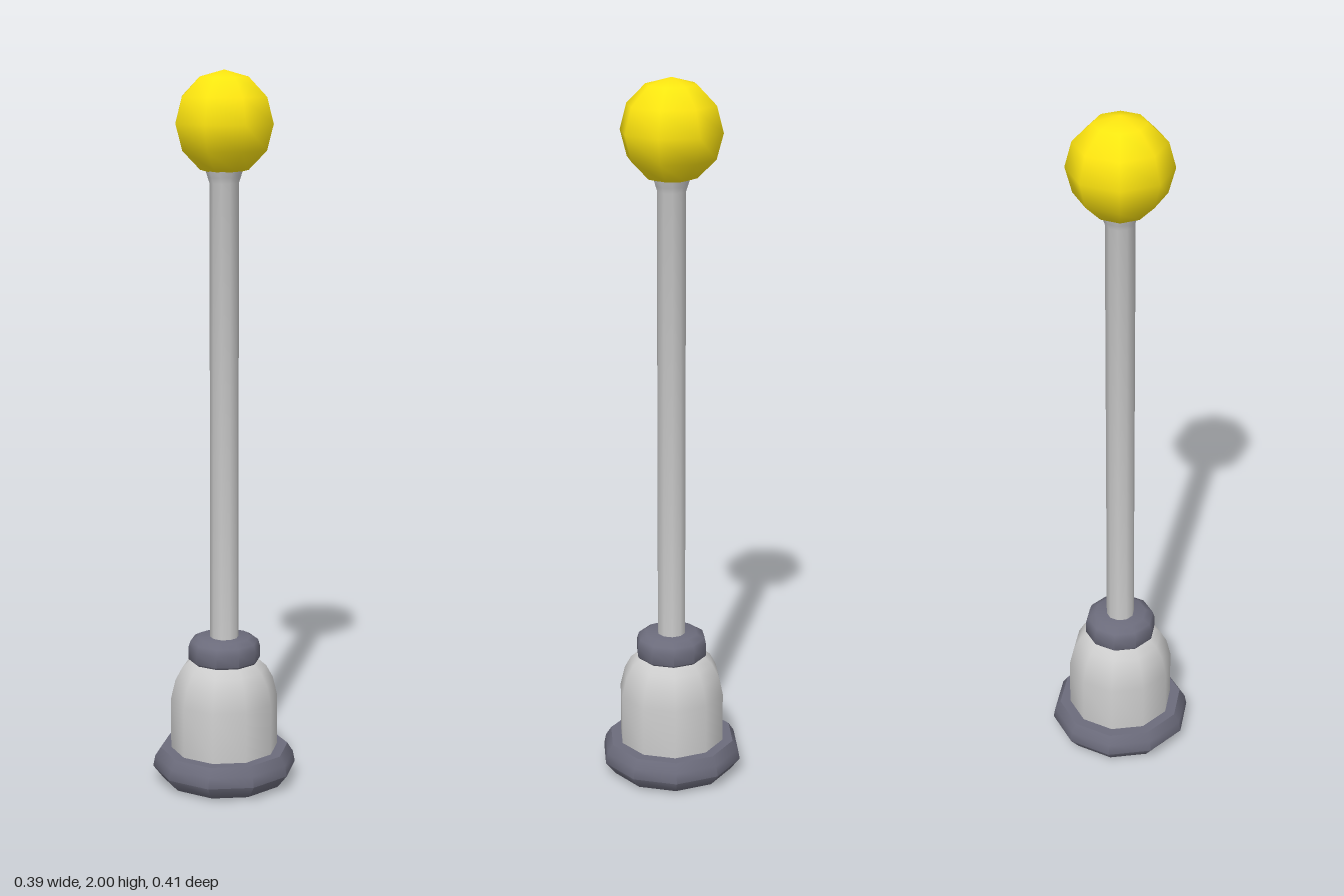
import * as THREE from 'three';
import { toCreasedNormals } from 'three/addons/utils/BufferGeometryUtils.js';

const material = (color) => new THREE.MeshStandardMaterial({ color });

// Turned part from [radius, height] pairs, listed bottom to top
function turned(name, profile, sides, mat, crease = 0.9) {
  const points = profile.map(([r, y]) => new THREE.Vector2(r, y));
  const geometry = toCreasedNormals(new THREE.LatheGeometry(points, sides), crease);
  const mesh = new THREE.Mesh(geometry, mat);
  mesh.name = name;
  return mesh;
}

export function createModel() {
  const group = new THREE.Group();
  group.name = 'lever';
  const grey = material(0xcccccc);
  const dark = material(0x6c6c7c);
  const yellow = material(0xffe610);

  // Rounded foot ring with a plain underside
  group.add(turned('foot', [
    [0.158, 0], [0.175, 0.008], [0.204, 0.045], [0.198, 0.075], [0.182, 0.1], [0.14, 0.1],
  ], 10, dark));
  group.add(turned('underside', [[0, 0], [0.158, 0]], 10, grey));

  // Domed housing
  group.add(turned('housing', [
    [0.152, 0.095], [0.152, 0.245], [0.139, 0.3], [0.12, 0.335], [0.095, 0.357], [0, 0.357],
  ], 10, grey));

  // Collar where the rod enters the housing
  group.add(turned('collar', [
    [0.09, 0.35], [0.102, 0.362], [0.102, 0.395], [0.096, 0.414], [0.075, 0.425], [0, 0.425],
  ], 10, dark));

  // Rod, flaring slightly under the knob
  group.add(turned('rod', [
    [0.04, 0.4], [0.04, 1.7], [0.045, 1.715], [0.054, 1.745],
  ], 10, grey));

  // Ball knob
  const knob = new THREE.Mesh(new THREE.SphereGeometry(0.141, 8, 6), yellow);
  knob.name = 'knob';
  knob.position.y = 1.859;
  group.add(knob);

  return group;
}
